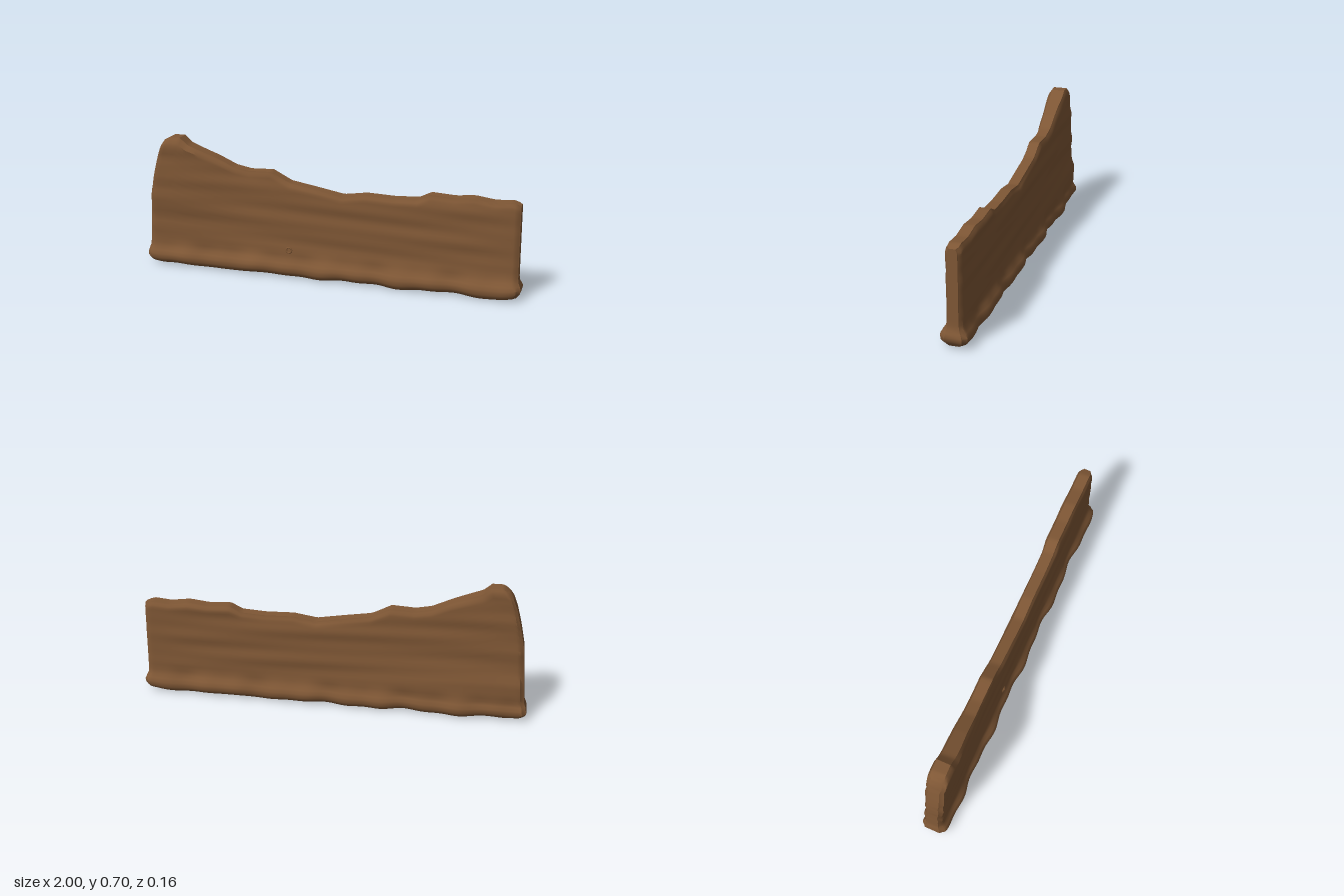
import * as THREE from 'three';
import { toCreasedNormals } from 'three/addons/utils/BufferGeometryUtils.js';

// Linear interpolation through [key, value] pairs
function sample(table, t) {
  if (t <= table[0][0]) return table[0][1];
  for (let i = 1; i < table.length; i++) {
    const [a, va] = table[i - 1], [b, vb] = table[i];
    if (t <= b) return va + (vb - va) * (t - a) / (b - a);
  }
  return table[table.length - 1][1];
}
const smooth = THREE.MathUtils.smoothstep;

// Top edge height along x
const TOP = [[-0.92, 0.64], [-0.89, 0.68], [-0.86, 0.7], [-0.8, 0.7], [-0.75, 0.665], [-0.6, 0.61],
  [-0.5, 0.565], [-0.42, 0.55], [-0.3, 0.555], [-0.2, 0.505], [-0.05, 0.48], [0.08, 0.457], [0.2, 0.475],
  [0.35, 0.47], [0.47, 0.477], [0.53, 0.507], [0.65, 0.5], [0.75, 0.51], [0.85, 0.496], [0.94, 0.503], [0.98, 0.49]];
// Worn end outlines by height
const LEFT = [[0, -0.98], [0.03, -1], [0.07, -0.995], [0.1, -0.985], [0.2, -0.978], [0.4, -0.965],
  [0.5, -0.945], [0.6, -0.92], [0.65, -0.9], [0.7, -0.87]];
const RIGHT = [[0, 0.975], [0.03, 0.995], [0.06, 1], [0.09, 0.985], [0.12, 0.982], [0.5, 0.98]];
// Half thickness of the flared foot
const FOOT = [[0, 0.038], [0.012, 0.056], [0.03, 0.066], [0.055, 0.067], [0.075, 0.057], [0.095, 0.045],
  [0.12, 0.039], [0.15, 0.037]];
const FOOT_ROWS = FOOT.map(([y]) => y);
const WALL_ROWS = 22;

function place(s, y) {
  return s + (sample(LEFT, y) + 1) * Math.exp(-(s + 1) / 0.22)
    + (sample(RIGHT, y) - 1) * Math.exp(-(1 - s) / 0.1);
}

// Distance of the face from the middle plane; side is 1 for front, -1 for back
function depth(x, y, H, side) {
  const foot = 1 - smooth(y, 0.07, 0.14);
  let d = sample(FOOT, y);
  // Lumpy foot
  d += foot * (0.007 * Math.sin(15 * x + side * 1.3) + 0.004 * Math.sin(33 * x + side * 2));
  // Long grain ridges
  const grain = Math.sin(42 * y + 2.2 * Math.sin(2.1 * x + side) + side) * 0.6
    + Math.sin(75 * y + 3 * Math.sin(1.4 * x - side)) * 0.4;
  d += (1 - foot) * 0.004 * grain * (1 - smooth(x, 0.7, 1) * 0.7);
  // Swelling towards the tall end
  const swell = 1 - smooth(x, -0.85, -0.4);
  if (side > 0) d += swell * (0.008 + 0.014 * smooth(y, 0.22, 0.4)) * (1 - foot);
  else d += (1 - foot) * (0.004 + 0.017 * (1 - smooth(x, -0.7, 0.2)) * (1 - smooth(y, 0.17, 0.27)));
  // Rounded top edge
  return d * (1 - 0.3 * smooth(y, H - 0.025, H));
}

function wallGeometry() {
  const N = 130, stations = [-1, -0.992, -0.98];
  for (let i = 1; i < N; i++) stations.push(-0.98 + 1.96 * i / N);
  stations.push(0.98, 0.992, 1);
  const rows = FOOT_ROWS.length + WALL_ROWS, ring = rows * 2;
  const pos = [], idx = [];
  for (const s of stations) {
    const H = sample(TOP, place(s, 0.67 - 0.15 * smooth(s, -0.9, 0)));
    const round = 1 - 0.38 * smooth(Math.abs(s), 0.975, 1);
    const base = 0.006 + 0.004 * Math.sin(13 * s) + 0.002 * Math.sin(29 * s)
      + 0.008 * smooth(Math.abs(s), 0.9, 1);
    const ys = [...FOOT_ROWS];
    for (let j = 1; j <= WALL_ROWS; j++) {
      const t = 1 - Math.pow(1 - j / WALL_ROWS, 1.25);
      ys.push(0.15 + (H - 0.15) * t);
    }
    const add = (y, side) => {
      const x = place(s, y);
      pos.push(x, y + base * (1 - smooth(y, 0, 0.13)), side * round * depth(x, y, H, side));
    };
    for (let j = 0; j < rows; j++) add(ys[j], 1);
    for (let j = rows - 1; j >= 0; j--) add(ys[j], -1);
  }
  // Skin between neighbouring sections
  for (let i = 0; i < stations.length - 1; i++) {
    for (let j = 0; j < ring; j++) {
      const a = i * ring + j, b = i * ring + (j + 1) % ring, c = a + ring, d = b + ring;
      idx.push(a, c, b, b, c, d);
    }
  }
  // End caps, joined front to back row by row
  const last = (stations.length - 1) * ring;
  for (let j = 0; j < rows - 1; j++) {
    const f = j, g = j + 1, b = ring - 1 - j, h = ring - 2 - j;
    idx.push(f, g, b, g, h, b);
    idx.push(last + f, last + b, last + g, last + g, last + b, last + h);
  }
  const geo = new THREE.BufferGeometry();
  geo.setAttribute('position', new THREE.Float32BufferAttribute(pos, 3));
  geo.setIndex(idx);
  return toCreasedNormals(geo, 0.7);
}

export function createModel() {
  const model = new THREE.Group();
  model.name = 'brokenWoodenWall';
  const wood = new THREE.MeshStandardMaterial({ color: 0x7f5735 });
  wood.name = 'brown wood';

  const wall = new THREE.Mesh(wallGeometry(), wood);
  wall.name = 'woodenWall';
  model.add(wall);

  // Small knot in the front face
  const knot = new THREE.Mesh(new THREE.TorusGeometry(0.014, 0.005, 8, 18), wood);
  knot.name = 'knot';
  knot.position.set(-0.2, 0.147, depth(-0.2, 0.147, 0.5, 1));
  knot.scale.z = 0.7;
  model.add(knot);
  return model;
}
